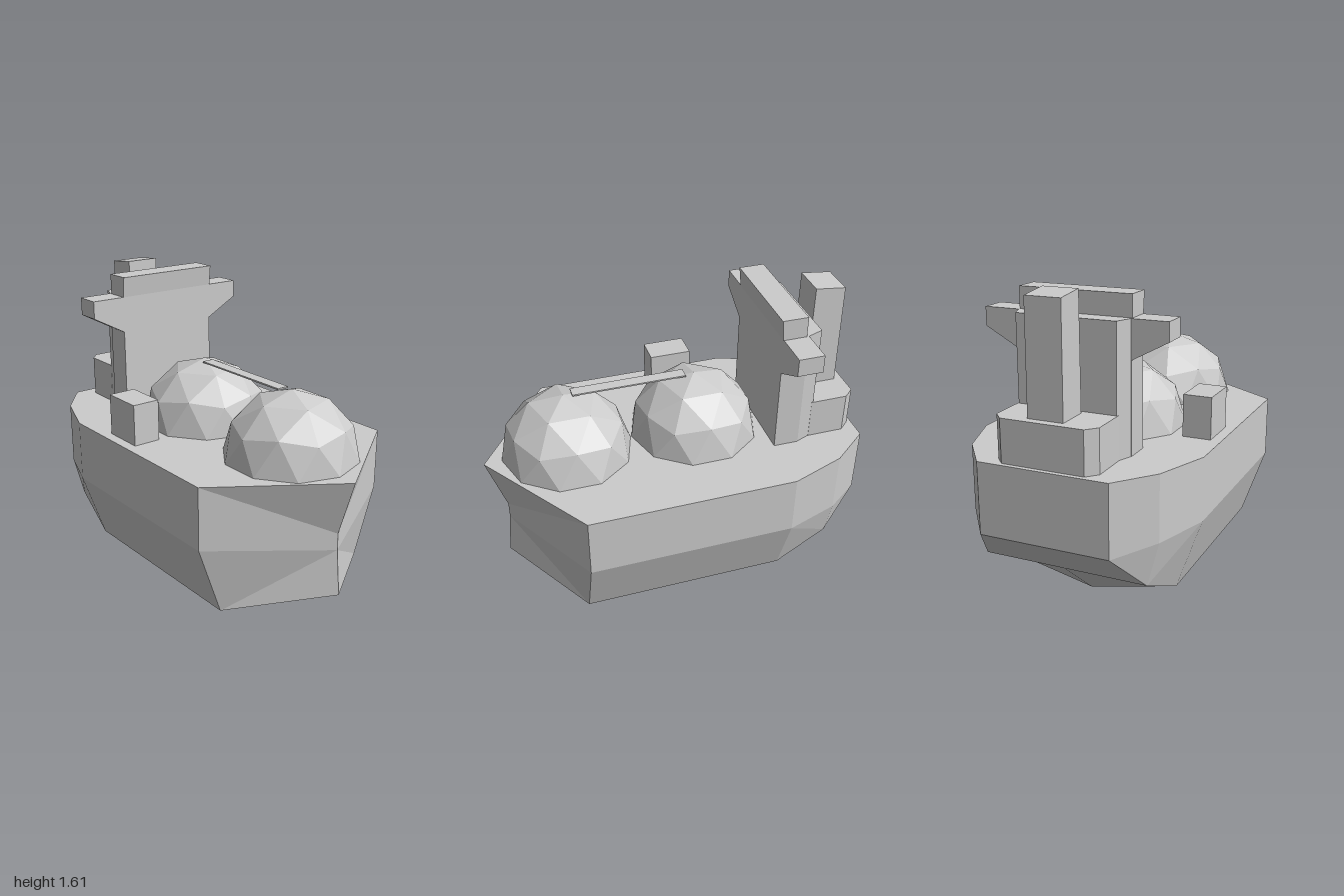
import * as THREE from 'three';

const material = new THREE.MeshStandardMaterial({ color: 0xcccccc, flatShading: true });
const DECK = 0.81;

function part(name, geometry, x = 0, y = 0, z = 0) {
  const mesh = new THREE.Mesh(geometry, material);
  mesh.name = name;
  mesh.position.set(x, y, z);
  return mesh;
}

// Extrude a closed outline of [a, b] points without bevels
function extrude(points, depth) {
  const shape = new THREE.Shape(points.map(p => new THREE.Vector2(...p)));
  return new THREE.ExtrudeGeometry(shape, { depth, bevelEnabled: false });
}

// Upright prism from a plan outline of [x, z] points
function prism(plan, height) {
  return extrude(plan.map(([x, z]) => [x, -z]), height).rotateX(-Math.PI / 2);
}

// Box whose vertices are moved by a rule
function shapedBox(w, h, d, rule) {
  const g = new THREE.BoxGeometry(w, h, d);
  const p = g.attributes.position;
  const v = new THREE.Vector3();
  for (let i = 0; i < p.count; i++) {
    rule(v.fromBufferAttribute(p, i));
    p.setXYZ(i, v.x, v.y, v.z);
  }
  g.computeVertexNormals();
  return g;
}

// Half sections run from deck centre to keel: deck edge, upper chine, lower chine, bilge, keel
function hullGeometry() {
  const mid = z => [[0, DECK, z], [0.605, DECK, z], [0.605, 0.48, z], [0.605, 0.48, z], [0.475, 0.105, z], [0, 0, z]];
  const stations = [
    [[0, DECK, 1], [0, DECK, 1], [0, 0.51, 0.905], [0, 0.42, 0.905], [0, 0.18, 0.93], [0, 0.18, 0.93]],
    mid(0.585),
    mid(-0.51),
    [[0, DECK, -0.8], [0.5, DECK, -0.8], [0.5, 0.47, -0.8], [0.5, 0.47, -0.8], [0.44, 0.24, -0.8], [0, 0.24, -0.8]],
    [[0, DECK, -1], [0.34, DECK, -1], [0.34, 0.44, -1], [0.34, 0.44, -1], [0.34, 0.44, -1], [0, 0.44, -1]],
  ];
  const positions = [];
  const same = (a, b) => a.every((n, i) => n === b[i]);
  const tri = (a, b, c) => {
    if (same(a, b) || same(b, c) || same(a, c)) return;
    positions.push(...a, ...b, ...c);
    // mirrored half
    for (const [x, y, z] of [a, c, b]) positions.push(-x, y, z);
  };
  for (let s = 0; s < stations.length - 1; s++) {
    const A = stations[s], B = stations[s + 1];
    for (let i = 0; i < A.length - 1; i++) {
      if (i === 1) {
        tri(A[i], A[i + 1], B[i]);
        tri(A[i + 1], B[i + 1], B[i]);
      } else {
        tri(A[i], A[i + 1], B[i + 1]);
        tri(A[i], B[i + 1], B[i]);
      }
    }
  }
  // transom
  const T = stations[stations.length - 1];
  tri(T[0], T[1], T[2]);
  tri(T[0], T[2], T[5]);
  const g = new THREE.BufferGeometry();
  g.setAttribute('position', new THREE.Float32BufferAttribute(positions, 3));
  g.computeVertexNormals();
  return g;
}

export function createModel() {
  const ship = new THREE.Group();
  ship.name = 'gasTanker';
  ship.add(part('hull', hullGeometry()));

  // Faceted cargo domes, one corner turned straight up
  const dome = new THREE.IcosahedronGeometry(0.35, 1);
  dome.rotateZ(Math.atan(2 / (1 + Math.sqrt(5))));
  [['frontTank', 0.555], ['rearTank', -0.15]].forEach(([name, z]) =>
    ship.add(part(name, dome, -0.005, DECK, z)));

  // Catwalk over the tanks and deck locker
  ship.add(part('catwalk', new THREE.BoxGeometry(0.064, 0.008, 0.61), -0.022, 1.154, 0.203));
  ship.add(part('deckLocker', new THREE.BoxGeometry(0.15, 0.22, 0.23), -0.475, DECK + 0.11, -0.145));

  // Bridge front with flared wings
  const half = [[0.295, DECK], [0.295, 1.275], [0.48, 1.375], [0.48, 1.47]];
  const outline = [...half, ...half.map(([x, y]) => [-x, y]).reverse()];
  ship.add(part('bridge', extrude(outline, 0.135), 0.005, 0, -0.645));

  // Wheelhouse strip, its front leaning forward
  ship.add(part('wheelhouse', shapedBox(0.59, 0.11, 0.125, v => {
    if (v.y > 0 && v.z > 0) v.z += 0.012;
  }), 0.005, 1.525, -0.57));

  // Tower behind the bridge and the low house at the stern
  ship.add(part('bridgeTower', prism(
    [[-0.295, -0.64], [0.295, -0.64], [0.26, -0.73], [-0.26, -0.73]].reverse(), 1.47 - DECK), 0.005, DECK, 0));
  ship.add(part('sternHouse', prism(
    [[-0.265, -0.72], [-0.265, -0.92], [-0.215, -0.975], [0.215, -0.975], [0.265, -0.92], [0.265, -0.72]],
    0.22), 0.005, DECK, 0));

  // Funnel, slightly tapered with a sloping top
  ship.add(part('funnel', shapedBox(0.185, 0.58, 0.175, v => {
    if (v.y < 0) return;
    v.z *= 0.94;
    if (v.z < 0) v.y -= 0.018;
  }), 0.007, 1.32, -0.843));

  return ship;
}
